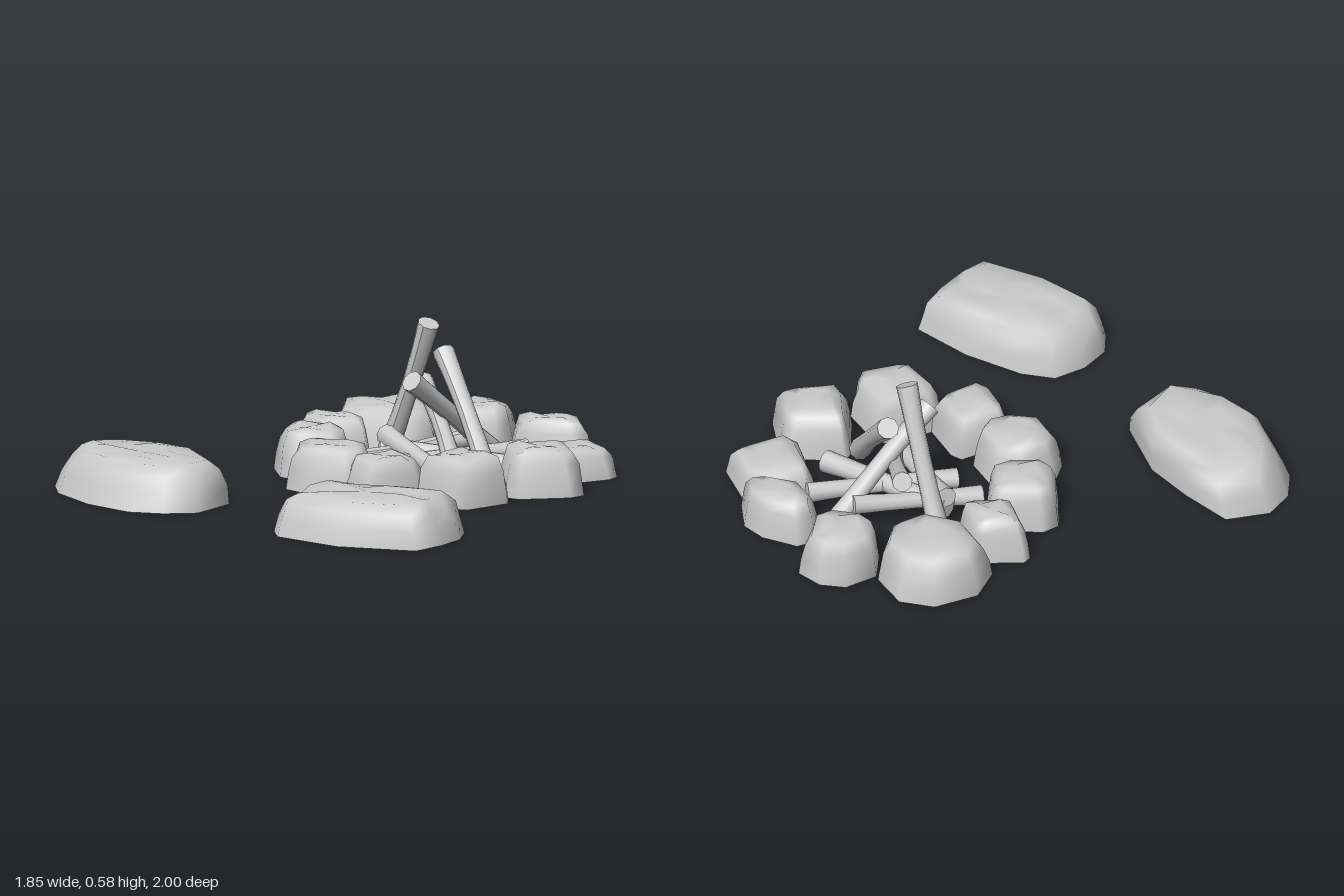
import * as THREE from 'three';

const stoneMat = new THREE.MeshStandardMaterial({ color: 0xcccccc, side: THREE.DoubleSide });
const woodMat = new THREE.MeshStandardMaterial({ color: 0xcccccc });

// Rings of [scale of footprint, fraction of height], from the ground up
const smallProfile = [[1, 0], [0.95, 0.35], [0.87, 0.68], [0.74, 0.92], [0.45, 1]];
const bigProfile = [[1, 0], [0.95, 0.4], [0.87, 0.75], [0.73, 0.96], [0.4, 1]];

// Hollow, open-bottomed stone: footprint [x, z] corners, clockwise seen from above
function stone(name, outline, height, profile, lean = [0, 0]) {
  const n = outline.length;
  const cx = outline.reduce((s, p) => s + p[0], 0) / n;
  const cz = outline.reduce((s, p) => s + p[1], 0) / n;
  const pos = [], index = [];
  profile.forEach(([s, h], r) => {
    outline.forEach(([x, z], i) => {
      // small unevenness of the upper rings
      const bump = r > 1 ? 0.04 * Math.sin(i * 2.4 + cx * 9 + r) : 0;
      pos.push(
        cx + (x - cx) * (s + bump) + lean[0] * h,
        height * (h + (h > 0.8 ? bump : 0)),
        cz + (z - cz) * (s + bump) + lean[1] * h);
    });
  });
  pos.push(cx + lean[0], height * 0.98, cz + lean[1]);
  const top = profile.length * n;
  for (let i = 0; i < n; i++) {
    const j = (i + 1) % n;
    for (let r = 0; r < profile.length - 1; r++) {
      const a = r * n + i, b = r * n + j;
      index.push(a, a + n, b, b, a + n, b + n);
    }
    index.push(top - n + i, top, top - n + j);
  }
  const g = new THREE.BufferGeometry();
  g.setAttribute('position', new THREE.Float32BufferAttribute(pos, 3));
  g.setIndex(index);
  g.computeVertexNormals();
  const mesh = new THREE.Mesh(g, stoneMat);
  mesh.name = name;
  return mesh;
}

// Irregular eight-sided footprint inside an ellipse
function footprint(x, z, rx, rz) {
  return Array.from({ length: 8 }, (_, i) => {
    const a = (i + 0.3 * Math.sin(i * 3 + x * 20)) * Math.PI / 4 + z;
    const k = 1.02 + 0.05 * Math.sin(i * 2.3 + x * 11);
    return [x + rx * k * Math.cos(a), z + rz * k * Math.sin(a)];
  });
}

// Stick between two points, a little thicker at both ends
function stick(from, to, radius) {
  const a = new THREE.Vector3(...from), b = new THREE.Vector3(...to);
  const dir = b.clone().sub(a), length = dir.length();
  const g = new THREE.CylinderGeometry(radius, radius, length, 9, 4);
  const p = g.attributes.position;
  for (let i = 0; i < p.count; i++) {
    const t = p.getY(i) / length * 2;
    const k = 0.9 + 0.2 * t * t;
    p.setX(i, p.getX(i) * k + 0.006 * (1 - t * t));
    p.setZ(i, p.getZ(i) * k);
  }
  g.computeVertexNormals();
  const mesh = new THREE.Mesh(g, woodMat);
  mesh.name = 'stick';
  mesh.position.copy(a).add(b).multiplyScalar(0.5);
  mesh.quaternion.setFromUnitVectors(new THREE.Vector3(0, 1, 0), dir.normalize());
  return mesh;
}

export function createModel() {
  const model = new THREE.Group();
  model.name = 'campfire';

  // Ring of stones: x, z, half width, half depth, height
  const ring = new THREE.Group();
  ring.name = 'stoneRing';
  const ringStones = [
    [0.19, -0.84, 0.15, 0.16, 0.18],
    [-0.13, -0.7, 0.22, 0.2, 0.18],
    [0.52, -0.77, 0.18, 0.1, 0.17],
    [0.71, -0.55, 0.17, 0.17, 0.12],
    [0.74, -0.24, 0.175, 0.16, 0.18],
    [0.57, 0.04, 0.17, 0.16, 0.185],
    [0.28, 0.12, 0.145, 0.155, 0.165],
    [0.02, 0.05, 0.17, 0.15, 0.175],
    [-0.165, -0.17, 0.155, 0.155, 0.18],
    [-0.21, -0.42, 0.15, 0.115, 0.175],
  ];
  for (const [x, z, rx, rz, h] of ringStones) {
    ring.add(stone('ringStone', footprint(x, z, rx, rz), h, smallProfile));
  }
  model.add(ring);

  // Two large seat rocks
  model.add(stone('leftSeatRock',
    [[0.24, 0.6], [0.36, 0.55], [0.6, 0.53], [0.84, 0.56], [0.88, 0.68], [0.87, 0.8],
      [0.83, 0.94], [0.53, 1], [0.25, 0.94], [0.19, 0.85], [0.19, 0.72]],
    0.165, bigProfile));
  model.add(stone('rightSeatRock',
    [[-0.81, 0.23], [-0.6, 0.27], [-0.4, 0.33], [-0.18, 0.49], [-0.21, 0.69], [-0.32, 0.76],
      [-0.45, 0.79], [-0.65, 0.73], [-0.84, 0.6], [-0.91, 0.49], [-0.92, 0.36]],
    0.17, bigProfile, [0.02, -0.03]));

  // Leaning and fallen sticks: foot, tip, radius
  const wood = new THREE.Group();
  wood.name = 'firewood';
  const sticks = [
    [[-0.02, 0.04, -0.5], [0.2, 0.56, -0.4], 0.038],
    [[0.53, 0.04, -0.24], [0.2, 0.43, -0.52], 0.038],
    [[0.33, 0.04, -0.67], [0.21, 0.37, -0.24], 0.038],
    [[0.38, 0.08, -0.24], [0.07, 0.29, -0.61], 0.035],
    [[0.5, 0.07, -0.62], [0.12, 0.05, -0.19], 0.035],
    [[0.58, 0.05, -0.39], [0.02, 0.07, -0.39], 0.04],
    [[-0.02, 0.05, -0.23], [0.29, 0.1, -0.62], 0.035],
    [[0.02, 0.12, -0.4], [0.43, 0.04, -0.13], 0.036],
  ];
  for (const s of sticks) wood.add(stick(...s));
  model.add(wood);
  return model;
}
